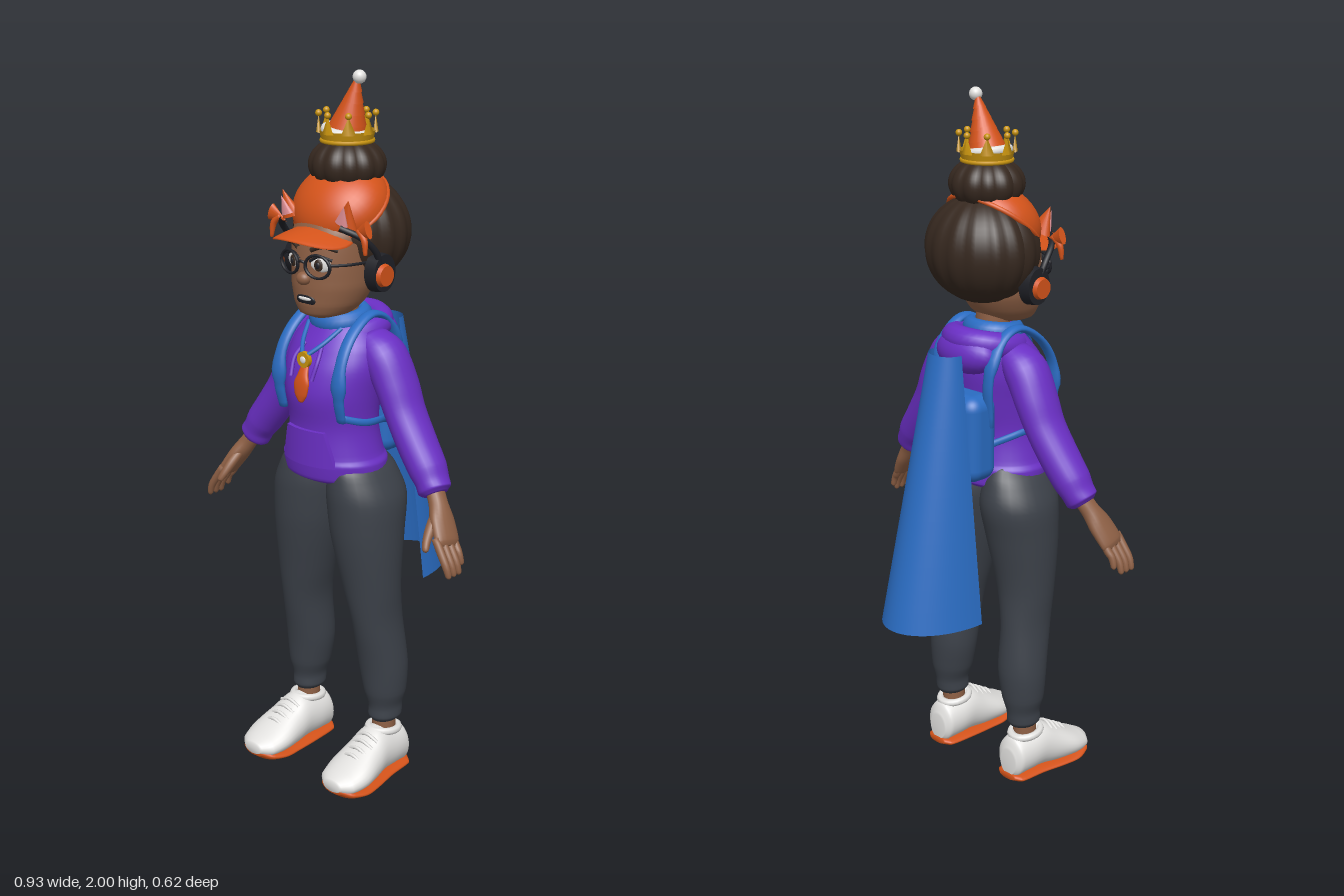
import * as THREE from 'three';
import { RoundedBoxGeometry } from 'three/addons/geometries/RoundedBoxGeometry.js';

const paint = (name, color, side = THREE.FrontSide) => {
  const m = new THREE.MeshStandardMaterial({ color, side });
  m.name = name;
  return m;
};
const M = {
  purple: paint('purple cloth', 0x6a2fc4), orange: paint('orange', 0xd4531a),
  hair: paint('dark brown hair', 0x36281f), skin: paint('brown skin', 0x8e6045),
  slate: paint('slate trousers', 0x3c4149), blue: paint('blue cloth', 0x2a6cc2, THREE.DoubleSide),
  white: paint('off white', 0xe2e1df), gold: paint('gold', 0xc9940f, THREE.DoubleSide),
  pink: paint('pink', 0xe08f95), black: paint('near black', 0x1f2026),
};
const X = new THREE.Vector3(1, 0, 0), Y = new THREE.Vector3(0, 1, 0), Z = new THREE.Vector3(0, 0, 1);

// Smooth skin through sections [x, y, z, ru, rv]; rings face axis, or follow the path
function loft(sections, { axis = null, v = Z, n = 28, steps = 5 } = {}) {
  const path = new THREE.CatmullRomCurve3(sections.map((s) => new THREE.Vector3(s[0], s[1], s[2])));
  const size = new THREE.CatmullRomCurve3(sections.map((s) => new THREE.Vector3(s[3], s[4] ?? s[3], 0)));
  const rows = (sections.length - 1) * steps, pos = [], idx = [];
  for (let i = 0; i <= rows; i++) {
    const p = path.getPoint(i / rows), r = size.getPoint(i / rows);
    const t = axis ?? path.getTangent(i / rows);
    const U = v.clone().cross(t).normalize(), V = t.clone().cross(U);
    for (let j = 0; j < n; j++) {
      const a = (j / n) * Math.PI * 2;
      const q = p.clone().addScaledVector(U, r.x * Math.cos(a)).addScaledVector(V, r.y * Math.sin(a));
      pos.push(q.x, q.y, q.z);
      if (i === rows) continue;
      const k = i * n + j, m = i * n + (j + 1) % n;
      idx.push(k, m, k + n, m, m + n, k + n);
    }
  }
  [[0, 0], [rows, 1]].forEach(([row, top]) => {
    const c = pos.length / 3, p = path.getPoint(top);
    pos.push(p.x, p.y, p.z);
    for (let j = 0; j < n; j++) {
      const a = row * n + j, b = row * n + (j + 1) % n;
      idx.push(c, top ? a : b, top ? b : a);
    }
  });
  const g = new THREE.BufferGeometry();
  g.setAttribute('position', new THREE.Float32BufferAttribute(pos, 3));
  g.setIndex(idx);
  g.computeVertexNormals();
  return g;
}

// Move every vertex by a rule
function shape(g, rule) {
  const p = g.attributes.position, q = new THREE.Vector3();
  for (let i = 0; i < p.count; i++) {
    q.fromBufferAttribute(p, i);
    rule(q);
    p.setXYZ(i, q.x, q.y, q.z);
  }
  g.computeVertexNormals();
  return g;
}

export function createModel() {
  const model = new THREE.Group();
  model.name = 'girl';
  const add = (name, g, mat, p = [0, 0, 0], r = [0, 0, 0], s = [1, 1, 1]) => {
    const m = new THREE.Mesh(g, mat);
    m.name = name;
    m.position.set(...p);
    m.rotation.set(...r);
    m.scale.set(...s);
    model.add(m);
    return m;
  };
  const ball = (name, mat, p, s, r) => add(name, new THREE.SphereGeometry(1, 24, 16), mat, p, r, s);
  const tube = (name, mat, pts, r) => add(name, new THREE.TubeGeometry(
    new THREE.CatmullRomCurve3(pts.map((p) => new THREE.Vector3(...p))), 20, r, 8), mat);
  const lobes = (count, depth) => shape(new THREE.SphereGeometry(1, 72, 28), (q) => {
    const k = 1 + depth * Math.abs(Math.sin(Math.atan2(q.z, q.x) * count / 2)) - depth;
    q.x *= k; q.z *= k;
  });

  // Torso, hem and front pocket
  add('hoodie', loft([[0, .9, .105, .13, .105], [0, .915, .108, .155, .126], [0, .955, .112, .157, .128],
    [0, .975, .114, .145, .123], [0, 1.06, .118, .13, .115], [0, 1.15, .118, .138, .128], [0, 1.22, .106, .147, .125],
    [0, 1.28, .09, .14, .11], [0, 1.33, .075, .105, .09], [0, 1.36, .075, .06, .06]], { axis: Y, n: 40 }), M.purple);
  add('hoodie pocket', shape(new THREE.BoxGeometry(.19, .1, .012, 14, 5, 1), (q) => {
    q.x *= .85 - q.y * 3;
    q.z += .118 + .121 * Math.sqrt(1 - (q.x / .15) ** 2);
  }), M.purple, [0, 1.005, 0]);
  add('hood', new THREE.TorusGeometry(.085, .036, 14, 36), M.purple, [0, 1.315, .055], [Math.PI / 2 + .2, 0, 0], [1.02, 1, 1]);
  ball('hood pouch', M.purple, [0, 1.295, -.015], [.105, .06, .058], [.3, 0, 0]);
  add('neck', new THREE.CylinderGeometry(.046, .05, .14, 20), M.skin, [0, 1.37, .085]);
  add('scarf', new THREE.TorusGeometry(.062, .023, 12, 32), M.blue, [0, 1.342, .088], [Math.PI / 2 + .12, 0, 0], [1.05, 1, 1.3]);
  add('medallion', new THREE.CylinderGeometry(.022, .022, .012, 20), M.gold, [0, 1.25, .232], [Math.PI / 2, 0, 0]);
  ball('medallion stone', M.white, [0, 1.25, .238], [.01, .01, .004]);
  add('tassel', loft([[0, 1.135, .247, .008, .005], [0, 1.155, .247, .022, .007], [0, 1.185, .244, .027, .008],
    [0, 1.21, .238, .018, .008], [0, 1.235, .228, .012, .006]], { axis: Y, n: 14 }), M.orange);

  // Head and face
  add('head', loft([[0, 1.358, .155, .03, .035], [0, 1.372, .145, .07, .075], [0, 1.4, .13, .094, .098],
    [0, 1.45, .116, .112, .114], [0, 1.51, .11, .116, .118], [0, 1.58, .105, .118, .113], [0, 1.66, .09, .09, .09]],
  { axis: Y, n: 36 }), M.skin);
  ball('nose', M.skin, [0, 1.472, .231], [.021, .018, .018]);
  ball('mouth', M.black, [0, 1.412, .222], [.034, .018, .008], [.2, 0, 0]);
  ball('teeth', M.white, [0, 1.417, .227], [.024, .006, .006], [.2, 0, 0]);
  tube('glasses bridge', M.black, [[-.015, 1.515, .236], [0, 1.52, .24], [.015, 1.515, .236]], .004);

  // Hair and bun
  add('hair', lobes(16, .05), M.hair, [0, 1.577, .043], [0, 0, 0], [.168, .15, .15]);
  add('hair bun', lobes(12, .07), M.hair, [0, 1.752, .06], [0, 0, 0], [.107, .075, .102]);

  // Cap with curved brim
  add('cap', new THREE.SphereGeometry(1, 36, 14, 0, Math.PI * 2, 0, Math.PI / 2), M.orange,
    [0, 1.643, .085], [.68, 0, 0], [.141, .1, .13]);
  add('cap rim', new THREE.TorusGeometry(1, .045, 8, 40), M.orange, [0, 1.643, .085], [.68 + Math.PI / 2, 0, 0], [.139, .129, .15]);
  add('cap brim', shape(new THREE.SphereGeometry(1, 32, 12), (q) => {
    q.set(q.x * .112, q.y * .009 - 2.8 * (q.x * .112) ** 2, q.z * .112);
  }), M.orange, [0, 1.598, .19], [.12, 0, 0]);

  // Crown and party hat
  add('crown band', new THREE.CylinderGeometry(.075, .068, .028, 32, 1, true), M.gold, [0, 1.828, .06]);
  add('crown lower ring', new THREE.TorusGeometry(.068, .006, 8, 32), M.gold, [0, 1.815, .06], [Math.PI / 2, 0, 0]);
  for (let i = 0; i < 8; i++) {
    const a = (i / 8) * Math.PI * 2, x = Math.sin(a) * .075, z = .06 + Math.cos(a) * .075;
    add('crown point', new THREE.ConeGeometry(.02, .048, 4), M.gold, [x, 1.86, z], [0, a, 0], [1, 1, .35]);
    ball('crown bead', M.gold, [x, 1.886, z], [.009, .009, .009]);
  }
  add('hat fur ring', new THREE.TorusGeometry(.055, .013, 10, 28), M.white, [-.004, 1.838, .06], [Math.PI / 2, -.15, 0]);
  for (let i = 0; i < 5; i++) {
    const r = .056 - i * .0095, k = i / 5;
    add('hat tier', new THREE.CylinderGeometry(r - .014, r, .036, 24), M.orange,
      [.002 + k * .043, 1.852 + i * .028, .06 + k * .005], [0, 0, -.22]);
  }
  ball('hat pompom', M.white, [.049, 1.983, .066], [.018, .018, .018]);

  // Backpack and cape
  add('backpack', new RoundedBoxGeometry(.2, .25, .11, 5, .04), M.blue, [0, 1.065, -.04]);
  add('backpack pocket', new RoundedBoxGeometry(.14, .1, .03, 4, .014), M.blue, [0, 1.01, -.09]);
  add('cape', shape(new THREE.PlaneGeometry(1, 1, 28, 12), (q) => {
    const a = q.x * Math.PI, k = .5 - q.y;
    q.set((.055 + .09 * k) * Math.sin(a), 1.31 - .765 * k, -.09 - .01 * k - (.05 + .16 * k) * Math.cos(a));
  }), M.blue);

  for (const s of [1, -1]) {
    const side = s > 0 ? 'left ' : 'right ';
    const flip = (pts) => pts.map(([x, ...rest]) => [x * s, ...rest]);
    const part = (name, mat, pts, opt) => add(side + name, loft(flip(pts), opt), mat);

    // Sleeve with a gathered cuff
    part('sleeve', M.purple, [[.09, 1.3, .07, .035, .05], [.145, 1.25, .07, .058, .066], [.185, 1.18, .068, .054, .067],
      [.218, 1.11, .07, .05, .063], [.265, 1.035, .076, .051, .06], [.308, .975, .082, .05, .056], [.328, .945, .086, .044, .05],
      [.34, .925, .09, .046, .046], [.347, .915, .092, .03, .034]], { n: 24 });

    // Hand
    part('palm', M.skin, [[.335, .935, .088, .022, .028], [.36, .898, .1, .024, .028], [.388, .855, .115, .023, .04],
      [.415, .812, .128, .018, .042], [.422, .798, .132, .01, .036]], { n: 18 });
    for (let i = 0; i < 4; i++) {
      const z = .1 + i * .021, d = i === 0 ? .018 : 0;
      part('finger', M.skin, [[.405, .825, z, .011], [.428, .79, z + .004, .0115], [.448 - d / 2, .758 + d, z + .007, .0105],
        [.456 - d / 2, .732 + d, z + .006, .008], [.456 - d / 2, .726 + d, z + .006, .003]], { n: 10, steps: 3 });
    }
    part('thumb', M.skin, [[.37, .875, .12, .014], [.378, .845, .15, .015], [.385, .815, .175, .012],
      [.392, .795, .188, .009], [.393, .79, .19, .003]], { n: 10, steps: 3, v: X });

    // Leg and ankle
    part('trouser leg', M.slate, [[.15, .17, .07, .036, .043], [.15, .185, .07, .046, .052], [.15, .21, .068, .045, .052],
      [.148, .26, .068, .06, .063], [.142, .35, .07, .07, .072], [.136, .48, .088, .066, .079], [.124, .6, .1, .081, .086],
      [.108, .75, .1, .1, .109], [.1, .85, .094, .103, .122], [.088, .93, .1, .078, .11], [.08, .97, .105, .05, .09]], { axis: Y });
    add(side + 'ankle', new THREE.CylinderGeometry(.033, .035, .1, 18), M.skin, [s * .15, .15, .075]);

    // Shoe, sole and laces
    const shoe = loft(flip([[.15, .06, .004, .03, .04], [.15, .072, .02, .05, .062], [.15, .08, .07, .058, .066],
      [.152, .085, .12, .06, .072], [.155, .07, .17, .067, .062], [.158, .055, .23, .074, .044],
      [.158, .045, .28, .062, .031], [.158, .045, .308, .03, .016]]), { axis: Z, v: Y });
    add(side + 'shoe', shape(shoe, (q) => { q.y = Math.max(q.y, .018); }), M.white);
    part('sole', M.orange, [[.15, .016, .002, .03, .01], [.15, .013, .02, .051, .013], [.15, .013, .1, .06, .013],
      [.156, .013, .18, .07, .013], [.158, .015, .23, .075, .014], [.158, .024, .28, .062, .018], [.158, .034, .304, .03, .012]],
    { axis: Z, v: Y });
    for (let i = 0; i < 4; i++) {
      const z = .15 + i * .022, y = .149 - i * .013;
      tube(side + 'lace', M.white, flip([[.12, y - .018, z], [.156, y - .003, z + .004], [.192, y - .018, z]]), .005);
    }
    add(side + 'shoe collar', new THREE.TorusGeometry(.04, .011, 8, 24), M.white, [s * .151, .14, .078], [Math.PI / 2 - .12, 0, 0], [1, 1.15, 1]);

    // Backpack strap and hoodie cord
    part('strap', M.blue, [[.09, 1.1, -.02, .008, .016], [.1, 1.25, -.03, .01, .018], [.1, 1.34, .02, .01, .018], [.1, 1.362, .08, .01, .018],
      [.105, 1.32, .16, .01, .018], [.11, 1.25, .208, .01, .018], [.11, 1.16, .218, .01, .018], [.108, 1.09, .205, .008, .015]],
    { v: X, n: 16 });
    part('strap lower webbing', M.blue, [[.108, 1.1, .205, .006, .01], [.137, 1.08, .14, .006, .01],
      [.13, 1.07, .06, .006, .01], [.08, 1.04, -.01, .006, .01]], { v: Y, n: 10 });
    tube(side + 'hood cord', M.purple, flip([[.03, 1.285, .195], [.042, 1.25, .225], [.038, 1.2, .246]]), .006);
    tube(side + 'medallion cord', M.blue, flip([[.06, 1.33, .15], [.035, 1.29, .2], [.008, 1.262, .232]]), .006);

    // Eye, brow and glasses
    ball(side + 'eye', M.white, [s * .048, 1.513, .215], [.03, .02, .008], [0, s * .3, 0]);
    ball(side + 'iris', M.hair, [s * .046, 1.512, .222], [.013, .016, .005], [0, s * .3, 0]);
    ball(side + 'pupil', M.black, [s * .046, 1.512, .225], [.007, .009, .004], [0, s * .3, 0]);
    tube(side + 'eyelid', M.black, flip([[.018, 1.52, .226], [.046, 1.535, .221], [.08, 1.526, .205]]), .004);
    tube(side + 'brow', M.hair, flip([[.022, 1.55, .226], [.055, 1.562, .216], [.088, 1.552, .192]]), .006);
    add(side + 'glasses rim', new THREE.TorusGeometry(.036, .0045, 8, 32), M.black, [s * .05, 1.51, .231], [0, s * .2, 0], [1.05, .85, 1]);
    tube(side + 'glasses arm', M.black, flip([[.086, 1.517, .222], [.115, 1.517, .18], [.128, 1.515, .1]]), .004);

    // Headphones
    add(side + 'ear cushion', new THREE.CylinderGeometry(.046, .05, .034, 24), M.black, [s * .148, 1.488, .095], [0, 0, -s * Math.PI / 2], [1.1, 1, .9]);
    add(side + 'ear cup', new THREE.CylinderGeometry(.027, .032, .014, 24), M.orange, [s * .17, 1.483, .1], [0, 0, -s * Math.PI / 2]);
    tube(side + 'headphone band', M.black, flip([[.155, 1.5, .1], [.158, 1.55, .125], [.143, 1.59, .165], [.1, 1.615, .2]]), .009);

    // Cat ear and side bow
    add(side + 'cat ear', new THREE.ConeGeometry(.034, .075, 20), M.orange, [s * .107, 1.652, .178], [.2, 0, -s * .3], [1, 1, .6]);
    add(side + 'inner ear', new THREE.ConeGeometry(.021, .052, 16), M.pink, [s * .105, 1.648, .193], [.15, 0, -s * .3], [1, 1, .45]);
    add(side + 'bow loop', new THREE.ConeGeometry(.024, .06, 16), M.orange, [s * .147, 1.607, .172], [0, 0, s * 1.9], [1, 1, .5]);
    part('bow tail', M.orange, [[.14, 1.61, .172, .007], [.163, 1.59, .175, .009], [.17, 1.55, .178, .005]], { n: 10 });
  }
  return model;
}
